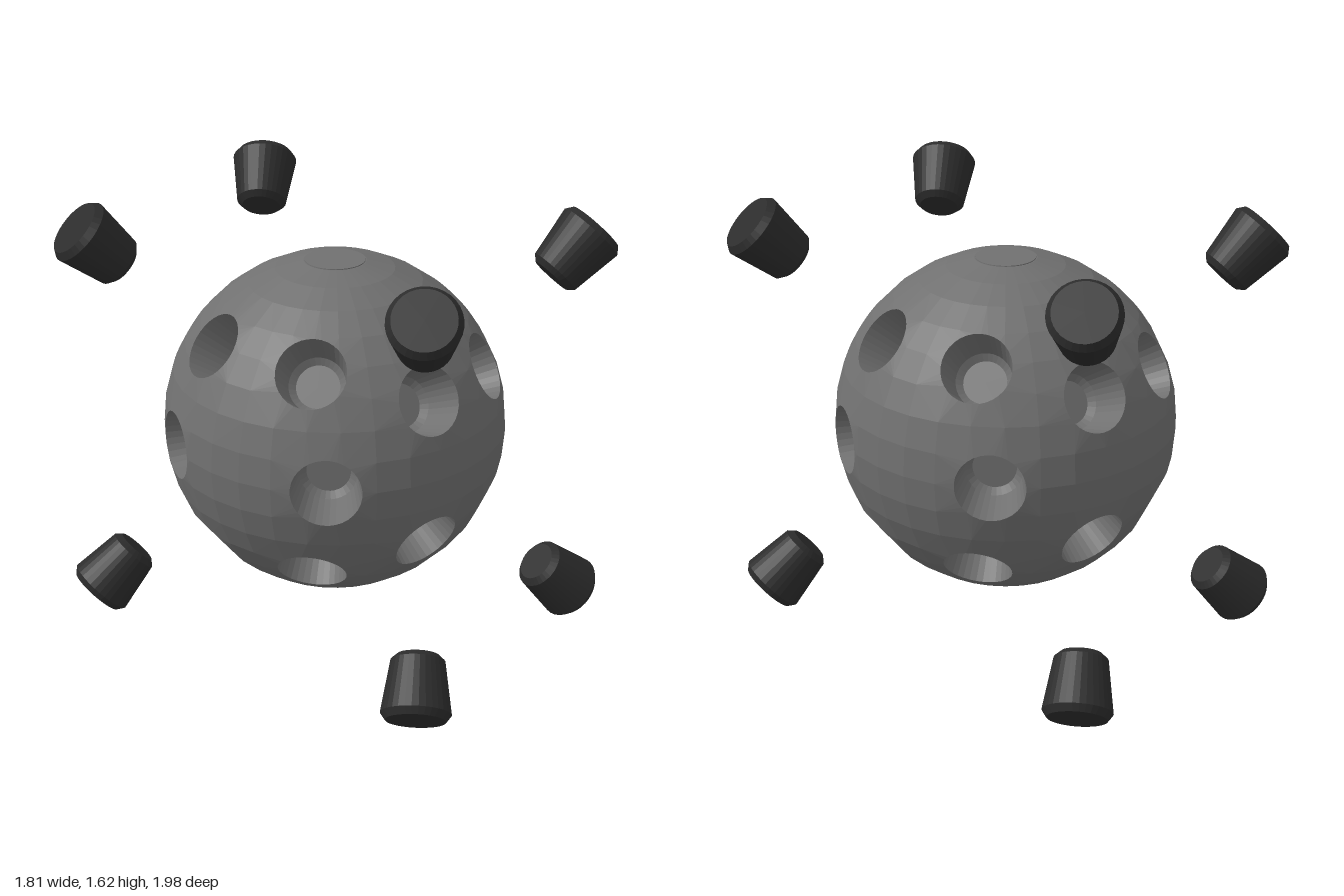
import * as THREE from 'three';
import { ConvexGeometry } from 'three/addons/geometries/ConvexGeometry.js';

const R = 0.623, CENTRE_Y = 0.825, HOLE_R = 0.123, POLE_R = 0.112, SIDES = 32;
const UP = new THREE.Vector3(0, 1, 0);
const V = (x, y, z) => new THREE.Vector3(x, y, z);
const profile = (pts) => pts.map(([r, y]) => new THREE.Vector2(r, y));

// Repeats a vector by a half turn about y and by mirroring top to bottom
function repeats([x, y, z]) {
  const list = [];
  for (const s of [1, -1]) for (const t of y === 0 ? [1] : [1, -1]) list.push(V(s * x, t * y, s * z));
  return list;
}

// Circle of points on the sphere around a direction
function rim(dir, radius) {
  const q = new THREE.Quaternion().setFromUnitVectors(UP, dir);
  const d = Math.sqrt(R * R - radius * radius);
  return Array.from({ length: SIDES }, (_, i) => {
    const a = (i / SIDES) * Math.PI * 2;
    return V(radius * Math.sin(a), d, radius * Math.cos(a)).applyQuaternion(q);
  });
}

// Faceted ball shell: hull of a sphere grid and the hole rims, with the rim lids removed
function shellGeometry(holes) {
  const poles = [V(0, 1, 0), V(0, -1, 0)];
  const holeAngle = Math.asin(HOLE_R / R);
  const points = [];
  holes.forEach((h) => points.push(...rim(h, HOLE_R)));
  poles.forEach((p) => points.push(...rim(p, POLE_R)));
  const rows = 18, cols = 32;
  for (let i = 2; i < rows - 1; i++) {
    for (let j = 0; j < cols; j++) {
      const p = new THREE.Vector3().setFromSphericalCoords(R, (i / rows) * Math.PI, (j / cols) * Math.PI * 2);
      if (holes.every((h) => p.angleTo(h) > holeAngle + 0.03)) points.push(p);
    }
  }
  // A minute radial variation keeps the hull free of coplanar ties
  points.forEach((p, i) => p.multiplyScalar(1 + 1e-5 * Math.sin(i * 12.9898)));
  const pos = new ConvexGeometry(points).attributes.position;
  const kept = [];
  for (let i = 0; i < pos.count; i += 3) {
    const tri = [0, 1, 2].map((k) => new THREE.Vector3().fromBufferAttribute(pos, i + k));
    const isLid = holes.some((h) => tri.every((p) => p.angleTo(h) < holeAngle + 0.002));
    if (!isLid) tri.forEach((p) => kept.push(p.x, p.y, p.z));
  }
  const geo = new THREE.BufferGeometry();
  geo.setAttribute('position', new THREE.Float32BufferAttribute(kept, 3));
  geo.computeVertexNormals();
  return geo;
}

export function createModel() {
  const model = new THREE.Group();
  model.name = 'ballWithPegs';
  const body = new THREE.Group();
  body.name = 'body';
  body.position.y = CENTRE_Y;
  model.add(body);

  const grey = new THREE.MeshStandardMaterial({ color: 0x707070, flatShading: true });
  const greyInside = new THREE.MeshStandardMaterial({ color: 0x707070, flatShading: true, side: THREE.DoubleSide });
  const dark = new THREE.MeshStandardMaterial({ color: 0x2c2c2c, flatShading: true });
  const add = (name, geo, mat, position, dir) => {
    const mesh = new THREE.Mesh(geo, mat);
    mesh.name = name;
    if (position) mesh.position.copy(position);
    if (dir) mesh.quaternion.setFromUnitVectors(UP, dir);
    body.add(mesh);
  };

  // Hole directions: two rings of eight and four on the equator
  const holes = [
    [0.106, 0.27, 0.54], [0.424, 0.27, 0.355], [0.48, 0.38, -0.035], [0.27, 0.38, -0.4],
    [0.61, 0, 0.02], [0.28, 0, -0.545],
  ].flatMap(repeats).map((d) => d.normalize());
  add('ball', shellGeometry(holes), grey);

  // Tapered sockets with a bevelled floor
  const rimY = Math.sqrt(R * R - HOLE_R * HOLE_R);
  const socket = new THREE.LatheGeometry(
    profile([[HOLE_R, rimY], [0.1, 0.46], [0.077, 0.44], [0, 0.44]]), SIDES);
  holes.forEach((h) => add('socket', socket, greyInside, null, h));

  // Thin caps at both poles
  const cap = new THREE.CylinderGeometry(0.108, 0.11, 0.02, SIDES);
  for (const s of [1, -1]) add('poleCap', cap, grey, V(0, s * 0.606, 0), V(0, s, 0));

  // Loose tapered pegs floating around the ball
  const peg = new THREE.LatheGeometry(profile([
    [0, -0.115], [0.073, -0.115], [0.095, -0.095], [0.123, 0.09], [0.105, 0.115], [0, 0.115],
  ]), SIDES);
  const pegs = [
    { at: [0.75, 0.652, 0.367], axis: [0.72, 0.69, 0.03] },
    { at: [-0.07, 0.655, 0.835], axis: [-0.35, 0.68, 0.64] },
  ];
  for (const { at, axis } of pegs) {
    const axes = repeats(axis);
    repeats(at).forEach((p, i) => add('peg', peg, dark, p, axes[i].normalize()));
  }
  return model;
}
